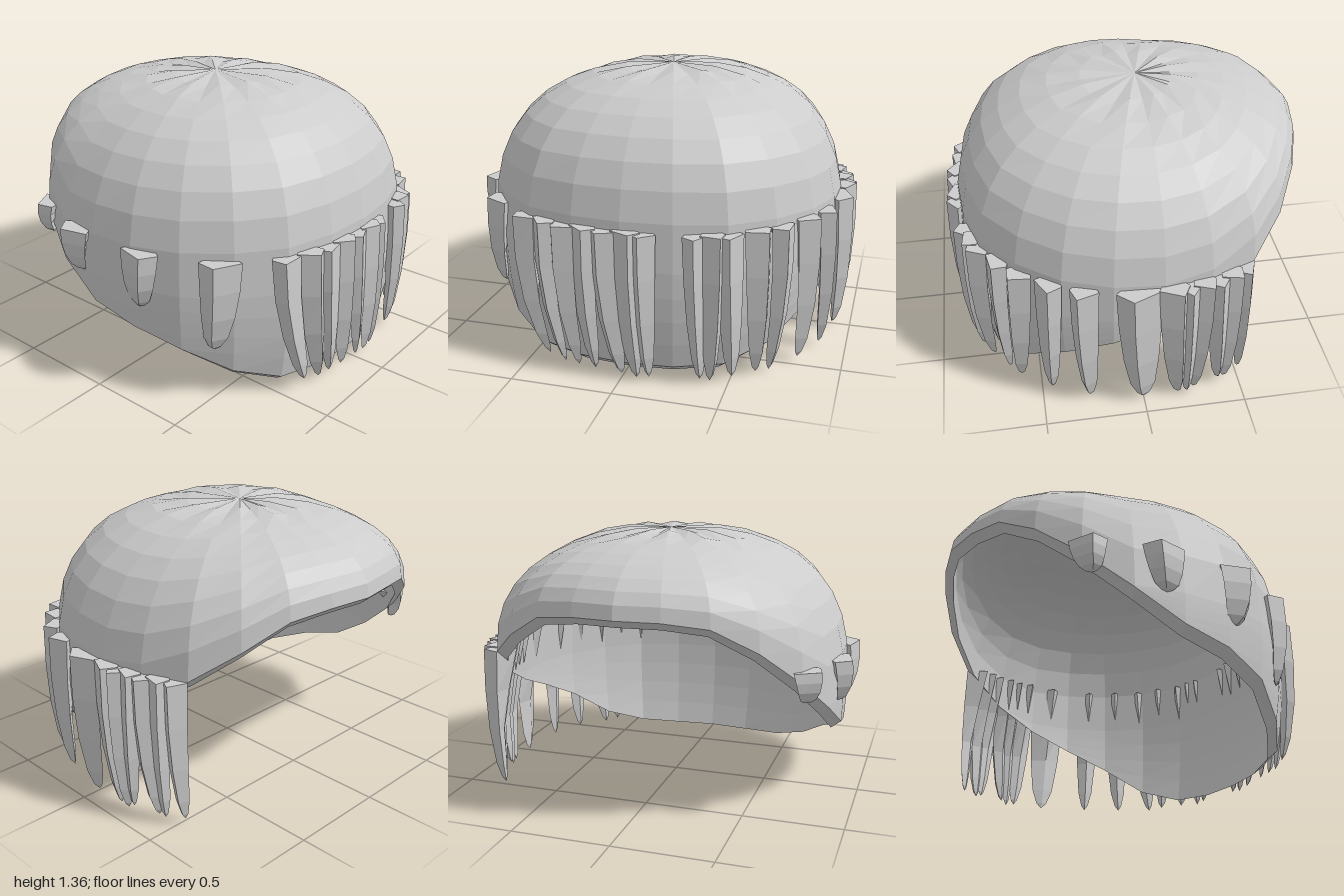
import * as THREE from 'three';

const hairMaterial = new THREE.MeshStandardMaterial({ color: 0xcccccc, flatShading: true });
hairMaterial.name = 'pale grey hair';

// Joins rings of points, listed from top to bottom, into one closed skin
function skin(rings) {
  const n = rings[0].length, pos = [], idx = [];
  rings.forEach(ring => ring.forEach(p => pos.push(p[0], p[1], p[2])));
  for (let i = 0; i < rings.length - 1; i++) {
    for (let j = 0; j < n; j++) {
      const k = (j + 1) % n;
      const a = i * n + j, b = i * n + k, c = a + n, d = b + n;
      idx.push(a, c, b, b, c, d);
    }
  }
  const g = new THREE.BufferGeometry();
  g.setAttribute('position', new THREE.Float32BufferAttribute(pos, 3));
  g.setIndex(idx);
  g.computeVertexNormals();
  return g;
}

// Cap outline and rim height every 15 degrees from front to back, mirrored
const CROWN_Z = -0.09, TOP = 1.355, SIDES = 24;
const radii = [0.94, 0.95, 0.975, 0.965, 0.955, 0.935, 0.915, 0.91, 0.905, 0.87, 0.835, 0.82, 0.83];
const rims = [0.05, 0.05, 0.065, 0.14, 0.26, 0.34, 0.40, 0.54, 0.71, 0.88, 1.0, 1.03, 1.035];

// One meridian: outer skin from crown to rim, then inner skin back up
function meridian(j) {
  const k = Math.min(j, SIDES - j), a = j / SIDES * Math.PI * 2;
  // the rim is cut a little higher over the left ear
  const lift = j < SIDES / 2 ? 0.1 * Math.max(0, 1 - Math.abs(k - 6) / 3) : 0;
  const R = radii[k], rim = rims[k] + lift, wide = Math.max(0.55, rim);
  const p = 2.55 + 0.3 * Math.cos(a);
  const outer = [];
  for (let i = 0; i <= 9; i++) {
    const f = i / 9 * Math.PI / 2;
    const s = Math.pow(Math.sin(f), 2 / p), c = Math.pow(Math.max(0, Math.cos(f)), 2 / p);
    const crease = 0.008 * Math.sin(Math.min(1, s / 0.55) * Math.PI) * (j % 2 ? 1 : -1);
    outer.push([R * s, wide + (TOP - wide) * c + crease]);
  }
  for (let i = 1; i <= 4; i++) {
    const y = wide + (rim - wide) * i / 4;
    outer.push([R * (1 - 0.06 * Math.pow((wide - y) / 0.5, 2)), y]);
  }
  const inner = outer.map(([r, y]) => [r * 0.945, y - 0.04]).reverse();
  return outer.concat(inner).map(([r, y]) => [r * Math.sin(a), y, CROWN_Z + r * Math.cos(a)]);
}

function capGeometry() {
  const lines = Array.from({ length: SIDES }, (_, j) => meridian(j));
  return skin(lines[0].map((_, i) => lines.map(line => line[i])));
}

// Distance from the centre line to the cap at an angle, for placing locks
function capRadius(deg) {
  const t = Math.min(12, Math.abs(deg) / 15), i = Math.min(11, Math.floor(t));
  const R = THREE.MathUtils.lerp(radii[i], radii[i + 1], t - i);
  return R + CROWN_Z * Math.cos(THREE.MathUtils.degToRad(deg));
}

// Tapered lock, ridged outside and rooted through the cap, hanging from one angle to another
function lockGeometry(topDeg, tipDeg, tipY, half, topY, ridge) {
  const steps = [[0, 0], [0, 1], [0.3, 0.92], [0.6, 0.78], [0.85, 0.56], [0.96, 0.28], [1, 0]];
  return skin(steps.map(([v, w]) => {
    const deg = THREE.MathUtils.lerp(topDeg, tipDeg, v * v);
    const a = THREE.MathUtils.degToRad(deg), s = Math.sin(a), c = Math.cos(a);
    const r = capRadius(deg) + 0.015 * Math.sin(v * Math.PI) - 0.01 * v;
    const y = topY + (tipY - topY) * v;
    const at = (out, side) => [(r + out * w) * s + side * w * c, y, (r + out * w) * c - side * w * s];
    const depth = 0.05 + 0.02 * Math.abs(s), root = 0.03 + 0.07 * Math.max(0, 1 - v / 0.6);
    return [at(depth, half * ridge), at(0.005, half), at(-root, 0), at(0.005, -half)];
  }));
}

// Angles run from the front (0) towards +x: [top, tip, tip height, half width]
const fringeLeftOfPart = [
  [-34, -26, 0.05, 0.07], [-26, -20, 0.03, 0.07], [-19, -15, 0.03, 0.07], [-12, -9, 0.03, 0.07],
  [-5, 0, 0.02, 0.07], [2, 5, 0.01, 0.07], [7.5, 9, 0.02, 0.06]
];
const fringeRightOfPart = [
  [23, 25, 0.02, 0.06], [28, 28, 0.01, 0.06], [33, 35, 0.02, 0.07], [42, 43, 0.02, 0.07],
  [51, 48, 0.01, 0.07], [61, 60, 0.02, 0.07], [72, 73, 0.02, 0.07]
];
const sideLocks = [
  [88, 90, 0.01, 0.11], [98, 101, 0.01, 0.075], [103, 104, 0, 0.06], [107, 106, 0.02, 0.06],
  [112, 115, 0.02, 0.075], [116, 117, 0.01, 0.06], [121, 123, 0.02, 0.06]
];
const shortLocks = [
  [-53, -55, 0.28, 0.1], [-77, -78, 0.46, 0.1], [-102, -101, 0.54, 0.1], [-123, -122, 0.61, 0.09]
];

export function createModel() {
  const model = new THREE.Group();
  model.name = 'hair';

  const cap = new THREE.Mesh(capGeometry(), hairMaterial);
  cap.name = 'hairCap';
  model.add(cap);

  const sets = { fringeLeftOfPart, fringeRightOfPart, sideLocks, shortLocks };
  for (const [name, locks] of Object.entries(sets)) {
    const group = new THREE.Group();
    group.name = name;
    locks.forEach(([top, tip, tipY, half], i) => {
      const topY = 0.74 + (name === 'shortLocks' ? 0.01 * i : 0.006 * (i % 2));
      const ridge = i % 2 ? 0.35 : -0.3;
      const lock = new THREE.Mesh(lockGeometry(top, tip, tipY, half, topY, ridge), hairMaterial);
      lock.name = 'lock' + (i + 1);
      group.add(lock);
    });
    model.add(group);
  }
  return model;
}
